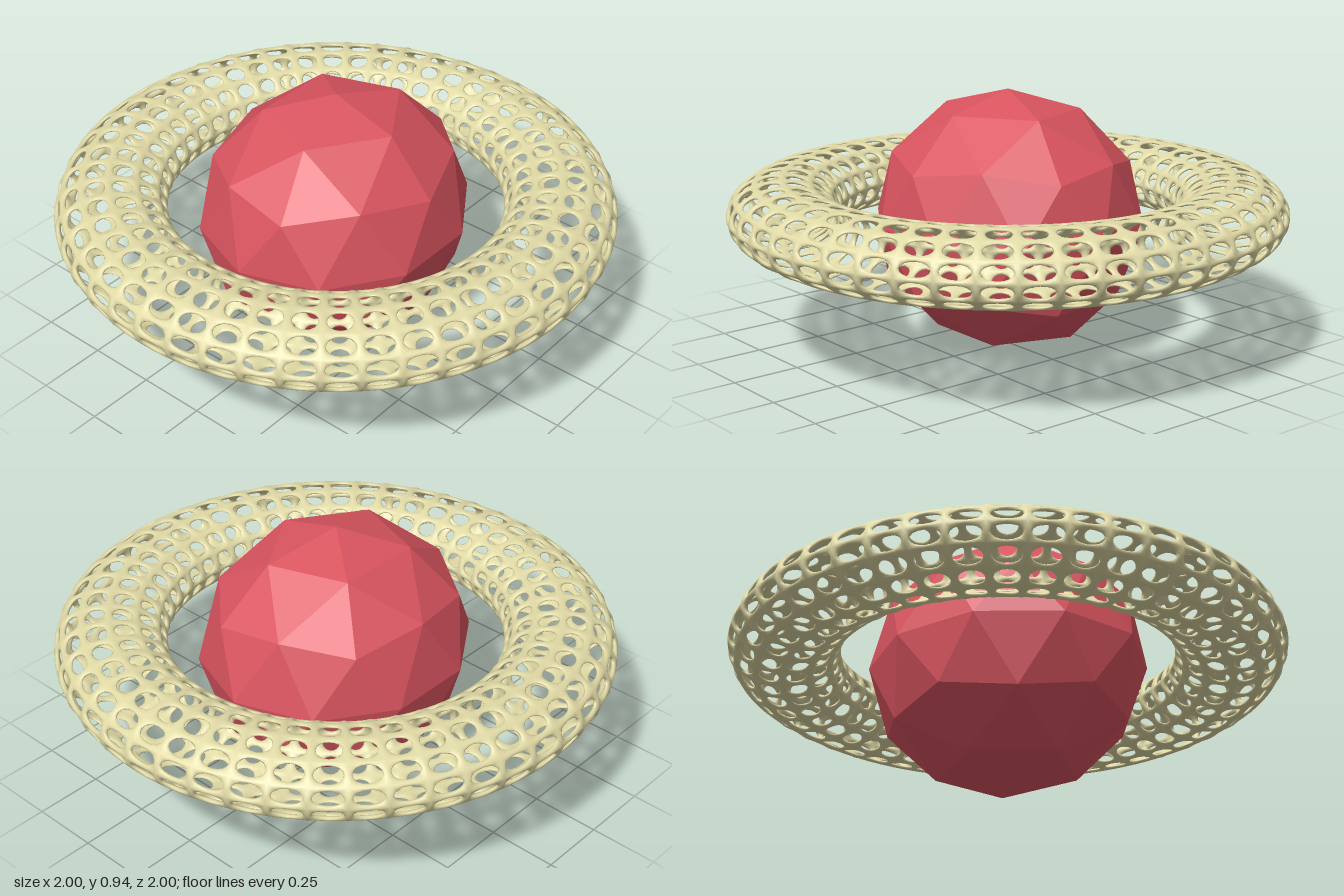
import * as THREE from 'three';
import { mergeVertices } from 'three/addons/utils/BufferGeometryUtils.js';

const MAJOR = 48, MINOR = 12;      // cells around the ring and around its tube
const RING = 0.8, TUBE = 0.19;     // radii of the strut centre surface
const HALF_W = 0.013, HALF_T = 0.01; // half width and half thickness of a strut
const AROUND = 16, STEPS = 6;      // points per hole, steps across a strut

// Point on the torus, lifted by h along its normal
function torusPoint(u, v, h) {
  const rho = RING + (TUBE + h) * Math.cos(v);
  return [rho * Math.cos(u), (TUBE + h) * Math.sin(v), rho * Math.sin(u)];
}

// Torus of rounded struts: each cell runs from its square border to a round hole
function latticeGeometry() {
  const pos = [], index = [];
  const du = 2 * Math.PI / MAJOR, dv = 2 * Math.PI / MINOR;
  for (let i = 0; i < MAJOR; i++) {
    for (let m = 0; m < MINOR; m++) {
      const uc = (i + 0.5) * du, vc = (m + 0.5) * dv;
      const holeU = 0.5 - HALF_W / ((RING + TUBE * Math.cos(vc)) * du);
      const holeV = 0.5 - HALF_W / (TUBE * dv);
      const base = pos.length / 3;
      for (let j = 0; j <= STEPS; j++) {
        // outer ridge -> hole rim -> inner ridge
        const t = (1 - 2 * j / STEPS) * Math.PI / 2;
        const s = Math.cos(t), h = HALF_T * Math.sin(t);
        for (let k = 0; k < AROUND; k++) {
          const a = k / AROUND * 2 * Math.PI, c = Math.cos(a), d = Math.sin(a);
          const q = 0.5 / Math.max(Math.abs(c), Math.abs(d));
          const u = uc + du * c * (q + (holeU - q) * s);
          const v = vc + dv * d * (q + (holeV - q) * s);
          pos.push(...torusPoint(u, v, h));
          if (j === STEPS) continue;
          const k2 = (k + 1) % AROUND;
          const p0 = base + j * AROUND + k, p1 = p0 + AROUND;
          const p2 = base + j * AROUND + k2, p3 = p2 + AROUND;
          index.push(p0, p1, p2, p1, p3, p2);
        }
      }
    }
  }
  const g = new THREE.BufferGeometry();
  g.setAttribute('position', new THREE.Float32BufferAttribute(pos, 3));
  g.setIndex(index);
  const merged = mergeVertices(g, 1e-4);
  merged.computeVertexNormals();
  return merged;
}

export function createModel() {
  const group = new THREE.Group();

  // Faceted core, one vertex pointing straight up
  const coreGeo = new THREE.IcosahedronGeometry(1, 1);
  coreGeo.rotateZ(-Math.atan2(1, (1 + Math.sqrt(5)) / 2));
  coreGeo.scale(0.47, 0.47, 0.515);
  const core = new THREE.Mesh(coreGeo,
    new THREE.MeshStandardMaterial({ color: 0xd9545f, flatShading: true }));
  core.name = 'core';
  core.position.y = 0.47;
  group.add(core);

  // Perforated ring, flattened in height
  const ring = new THREE.Mesh(latticeGeometry(),
    new THREE.MeshStandardMaterial({ color: 0xe0d9a6 }));
  ring.name = 'latticeRing';
  ring.scale.y = 0.645;
  ring.position.y = 0.51;
  group.add(ring);

  return group;
}
